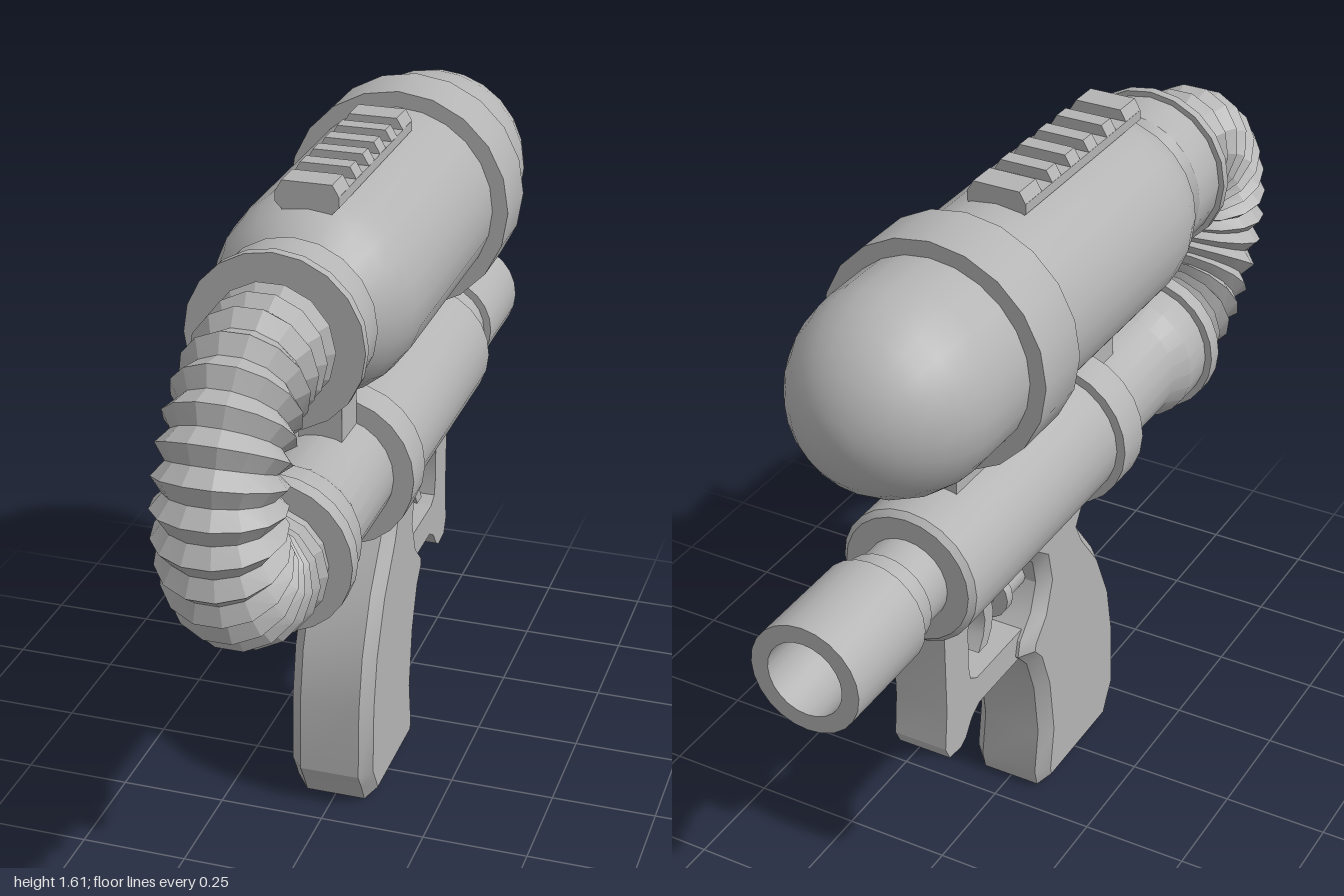
import * as THREE from 'three';
import { toCreasedNormals } from 'three/addons/utils/BufferGeometryUtils.js';

const grey = new THREE.MeshStandardMaterial({ color: 0xb4b4b4 });
grey.name = 'plain grey';

export function createModel() {
  const group = new THREE.Group();

  const add = (name, geometry, crease = 0.5) => {
    const mesh = new THREE.Mesh(toCreasedNormals(geometry, crease), grey);
    mesh.name = name;
    group.add(mesh);
    return mesh;
  };

  // Solid of revolution about the z axis at height y; points are [radius, z], z rising
  const turned = (name, y, points, sides = 20) => {
    const g = new THREE.LatheGeometry(points.map(([r, z]) => new THREE.Vector2(r, z)), sides);
    g.rotateX(Math.PI / 2).translate(0, y, 0);
    return add(name, g);
  };

  // Side profile of [z, y] points, extruded across x with an optional inset chamfer
  const plate = (name, points, halfWidth, bevel = 0) => {
    const shape = new THREE.Shape(points.map(([z, y]) => new THREE.Vector2(z, y)));
    const depth = 2 * (halfWidth - bevel);
    const g = new THREE.ExtrudeGeometry(shape, {
      depth, bevelEnabled: bevel > 0, bevelThickness: bevel,
      bevelSize: bevel, bevelOffset: -bevel, bevelSegments: 1,
    });
    g.translate(0, 0, -depth / 2).rotateY(-Math.PI / 2);
    return add(name, g);
  };

  const TANK_Y = 1.34, BARREL_Y = 0.863;

  // Water tank: domed rear, rounded shoulder at the hose end
  const tank = [];
  for (let i = 0; i <= 8; i++) {
    const a = (i / 8) * Math.PI / 2;
    tank.push([0.228 * Math.sin(a), -0.6 - 0.255 * Math.cos(a)]);
  }
  tank.push([0.228, 0.22], [0.222, 0.28], [0.205, 0.335], [0.165, 0.39], [0, 0.39]);
  turned('tank', TANK_Y, tank, 24);
  turned('tankBand', TANK_Y, [[0, -0.48], [0.265, -0.48], [0.265, -0.335], [0, -0.335]]);
  turned('tankCap', TANK_Y, [[0, 0.38], [0.165, 0.38], [0.182, 0.405], [0.182, 0.507],
    [0.195, 0.507], [0.195, 0.53], [0, 0.53]]);

  // Barrel body, collar and hose socket
  turned('barrel', BARREL_Y, [[0, -0.608], [0.15, -0.608], [0.163, -0.595], [0.163, 0.045],
    [0.184, 0.045], [0.184, 0.135], [0.137, 0.135], [0.137, 0.395], [0.16, 0.44],
    [0.16, 0.52], [0.177, 0.52], [0.177, 0.56], [0, 0.56]], 24);

  // Hollow stepped nozzle
  turned('nozzle', BARREL_Y, [[0, -0.8], [0.088, -0.8], [0.088, -1], [0.128, -1],
    [0.128, -0.745], [0.11, -0.745], [0.11, -0.69], [0.099, -0.69], [0.099, -0.6]], 24);

  // Corrugated hose: rings along a straight, a half circle and a straight
  const hose = () => {
    const sides = 14, rings = 37, bend = 0.24, lead = 0.1, arc = Math.PI * bend;
    const position = [], index = [];
    for (let i = 0; i < rings; i++) {
      const s = (i / (rings - 1)) * (2 * lead + arc);
      const turn = THREE.MathUtils.clamp((s - lead) / bend, 0, Math.PI);
      const phi = Math.PI / 2 - turn;
      const back = Math.max(0, lead - s, s - lead - arc);
      const cz = 0.62 - back + bend * Math.cos(phi);
      const cy = 1.101 + bend * Math.sin(phi);
      const r = i % 2 ? 0.138 : 0.113;
      for (let j = 0; j < sides; j++) {
        const a = (j / sides) * 2 * Math.PI;
        const out = r * Math.sin(a);
        position.push(r * Math.cos(a), cy + out * Math.sin(phi), cz + out * Math.cos(phi));
        if (i < rings - 1) {
          const p = i * sides + j, q = i * sides + (j + 1) % sides;
          index.push(p, q, p + sides, q, q + sides, p + sides);
        }
      }
    }
    const g = new THREE.BufferGeometry();
    g.setAttribute('position', new THREE.Float32BufferAttribute(position, 3));
    g.setIndex(index);
    g.computeVertexNormals();
    return g;
  };
  add('hose', hose(), 0.3);

  // Sight rail: dovetail base with six teeth
  const alongZ = (name, half, z0, z1) => {
    const pts = [...half, ...half.map(([x, y]) => [-x, y]).reverse()];
    const shape = new THREE.Shape(pts.map(([x, y]) => new THREE.Vector2(x, y)));
    const g = new THREE.ExtrudeGeometry(shape, { depth: z1 - z0, bevelEnabled: false });
    add(name, g.translate(0, 0, z0), 0.3);
  };
  alongZ('railBase', [[0.055, 1.5], [0.055, 1.545], [0.07, 1.56], [0.07, 1.583]], -0.21, 0.315);
  const teeth = [[-0.21, -0.14], [-0.095, -0.055], [-0.012, 0.03],
    [0.07, 0.11], [0.155, 0.197], [0.245, 0.315]];
  for (const [z0, z1] of teeth) alongZ('railTooth', [[0.07, 1.582], [0.055, 1.608]], z0, z1);

  // Brackets joining tank and barrel
  for (const [name, z0, z1, y0, y1] of [
    ['frontBracket', 0.135, 0.24, 0.95, 1.14],
    ['rearBracket', -0.48, -0.335, 0.98, 1.12],
  ]) {
    const g = new THREE.BoxGeometry(0.1, y1 - y0, z1 - z0);
    add(name, g.translate(0, (y0 + y1) / 2, (z0 + z1) / 2));
  }

  // Chamfered pistol grip
  plate('grip', [[0.14, 0], [0.163, 0.045], [0.19, 0.09], [0.185, 0.27], [0.16, 0.4],
    [0.1, 0.535], [0.02, 0.64], [0, 0.68], [0.035, 0.735], [0.035, 0.77], [-0.275, 0.77],
    [-0.275, 0.733], [-0.19, 0.67], [-0.175, 0.605], [-0.2, 0.535], [-0.25, 0.485],
    [-0.26, 0.445], [-0.22, 0.4], [-0.185, 0.305], [-0.165, 0.16], [-0.182, 0.045],
    [-0.17, 0]].reverse(), 0.1, 0.028);

  // Trigger guard
  plate('triggerGuard', [[-0.22, 0.505], [-0.435, 0.505], [-0.463, 0.522], [-0.47, 0.56],
    [-0.47, 0.66], [-0.452, 0.695], [-0.41, 0.715], [-0.41, 0.75], [-0.57, 0.75],
    [-0.567, 0.5], [-0.577, 0.4], [-0.56, 0.365], [-0.51, 0.36], [-0.488, 0.372],
    [-0.46, 0.41], [-0.425, 0.43], [-0.22, 0.43]], 0.065);

  // Trigger plunger and curved finger pad
  turned('triggerPlunger', 0.615, [[0, -0.345], [0.025, -0.345], [0.025, -0.285], [0.06, -0.285],
    [0.06, -0.26], [0.045, -0.26], [0.045, -0.16]], 16);
  plate('trigger', [[-0.4, 0.69], [-0.362, 0.69], [-0.342, 0.66], [-0.333, 0.617], [-0.342, 0.575],
    [-0.362, 0.545], [-0.4, 0.545], [-0.378, 0.58], [-0.37, 0.617], [-0.378, 0.655]], 0.05);

  return group;
}
